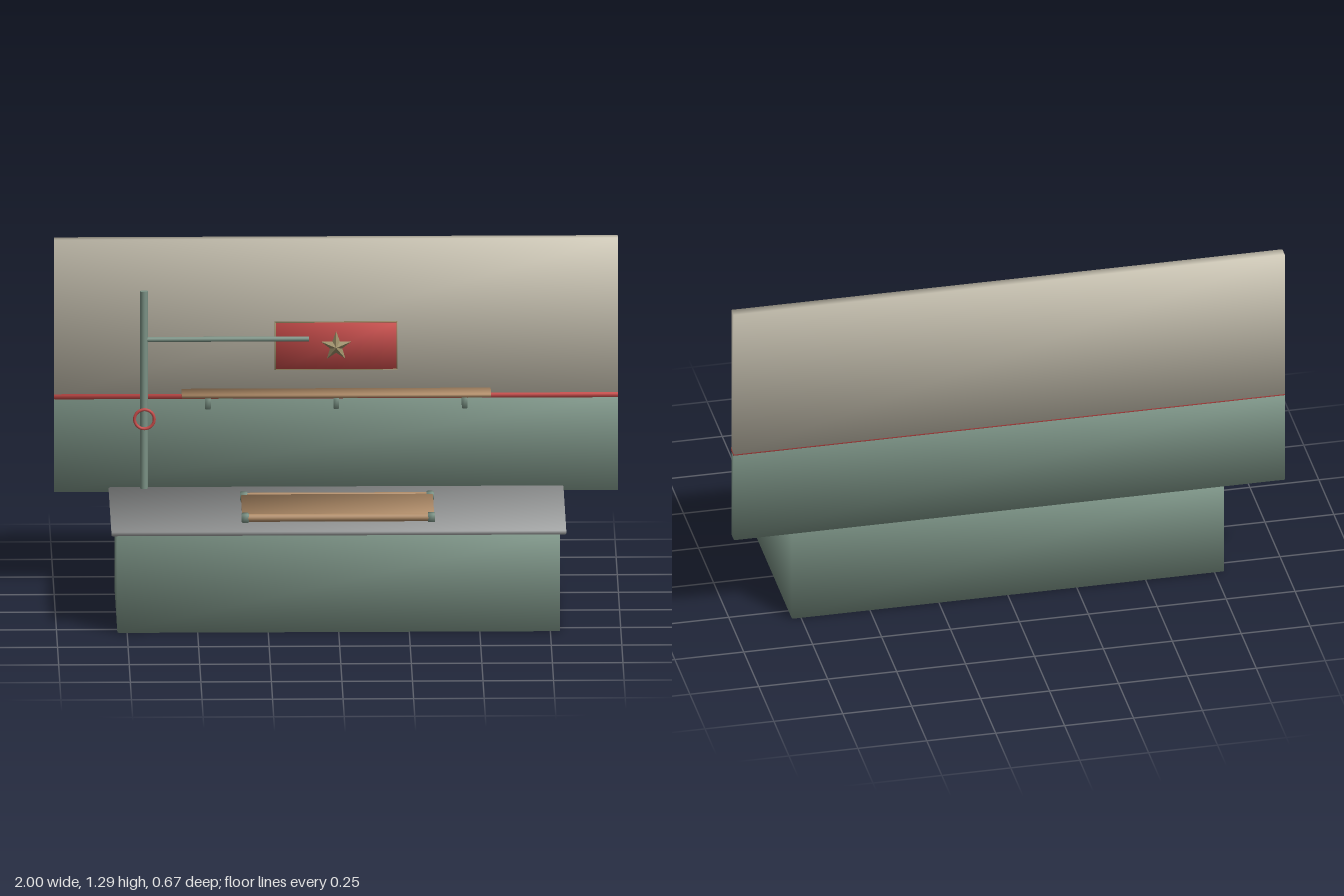
import * as THREE from 'three';
import { RoundedBoxGeometry } from 'three/addons/geometries/RoundedBoxGeometry.js';

const paint = (name, color) => {
  const m = new THREE.MeshStandardMaterial({ color });
  m.name = name;
  return m;
};

export function createModel() {
  const model = new THREE.Group();
  model.name = 'counterWithWall';
  const green = paint('sage green', 0x7a9184);
  const cream = paint('cream', 0xcdc7b6);
  const red = paint('red', 0xc44a48);
  const wood = paint('tan wood', 0xb08c68);
  const grey = paint('grey', 0x9fa1a1);
  const brass = paint('dull brass', 0x9a8c66);

  const add = (name, geometry, material, x = 0, y = 0, z = 0) => {
    const mesh = new THREE.Mesh(geometry, material);
    mesh.name = name;
    mesh.position.set(x, y, z);
    model.add(mesh);
    return mesh;
  };

  // Slightly bevelled box given by its limits, with normals blended around the corners
  const box = (name, material, [x0, x1], [y0, y1], [z0, z1], bevel = 0.003) => {
    const g = new RoundedBoxGeometry(x1 - x0, y1 - y0, z1 - z0, 1, bevel);
    const p = g.attributes.position, n = g.attributes.normal, k = 1 / Math.sqrt(3);
    for (let i = 0; i < p.count; i++) {
      n.setXYZ(i, Math.sign(p.getX(i)) * k, Math.sign(p.getY(i)) * k, Math.sign(p.getZ(i)) * k);
    }
    return add(name, g, material, (x0 + x1) / 2, (y0 + y1) / 2, (z0 + z1) / 2);
  };

  // Cylinder lying along x
  const rod = (name, material, x0, x1, y, z, r) => {
    const g = new THREE.CylinderGeometry(r, r, x1 - x0, 16).rotateZ(Math.PI / 2);
    return add(name, g, material, (x0 + x1) / 2, y, z);
  };

  // Counter
  box('counterBase', green, [-0.785, 0.785], [0, 0.362], [-0.312, 0.304], 0.005);
  box('counterTop', grey, [-0.806, 0.806], [0.362, 0.381], [-0.33, 0.335], 0.004);

  // Two-tone wall with a stripe along the joint
  box('lowerWall', green, [-1, 1], [0.363, 0.71], [-0.335, -0.292]);
  box('upperWall', cream, [-1, 1], [0.714, 1.286], [-0.335, -0.292]);
  box('wallStripe', red, [-1, 1], [0.704, 0.722], [-0.333, -0.286]);

  // Shelf on three brackets
  box('shelf', wood, [-0.548, 0.548], [0.727, 0.741], [-0.292, -0.203]);
  for (const x of [-0.455, 0, 0.455]) {
    box('shelfBracket', green, [x - 0.01, x + 0.01], [0.68, 0.727], [-0.292, -0.228]);
  }

  // Post with a side arm and a hanging ring
  add('post', new THREE.CylinderGeometry(0.0135, 0.0135, 0.722, 20), green, -0.681, 0.741, -0.276);
  rod('postArm', green, -0.681, -0.097, 0.925, -0.277, 0.009);
  add('ring', new THREE.TorusGeometry(0.035, 0.0055, 10, 32), red, -0.68, 0.64, -0.251);

  // Framed panel with a raised star
  box('wallPanel', red, [-0.214, 0.214], [0.812, 0.982], [-0.293, -0.284], 0.002);
  for (const s of [-1, 1]) {
    const x = s * 0.2155, y = 0.897 + s * 0.0865;
    box('panelFrameSide', brass, [x - 0.002, x + 0.002], [0.809, 0.985], [-0.293, -0.283], 0.001);
    box('panelFrameRail', brass, [-0.2175, 0.2175], [y - 0.0015, y + 0.0015], [-0.293, -0.283], 0.001);
  }

  // Star: ten facets rising to a central peak
  const rim = i => {
    const a = Math.PI / 2 + i * Math.PI / 5, r = i % 2 ? 0.023 : 0.056;
    return [r * Math.cos(a), r * Math.sin(a), 0];
  };
  const corners = [];
  for (let i = 0; i < 10; i++) corners.push(...rim(i), ...rim(i + 1), 0, 0, 0.024);
  const starGeometry = new THREE.BufferGeometry();
  starGeometry.setAttribute('position', new THREE.Float32BufferAttribute(corners, 3));
  starGeometry.computeVertexNormals();
  add('star', starGeometry, brass, 0, 0.895, -0.2839);

  // Mat with rolled edges and end caps
  box('mat', wood, [-0.34, 0.34], [0.381, 0.407], [-0.09, 0.212], 0.004);
  for (const z of [-0.09, 0.212]) {
    rod('matRoll', wood, -0.33, 0.33, 0.397, z, 0.0135);
    for (const x of [-0.33, 0.33]) {
      box('matCap', green, [x - 0.013, x + 0.013], [0.381, 0.413], [z - 0.014, z + 0.014], 0.004);
    }
  }
  return model;
}
